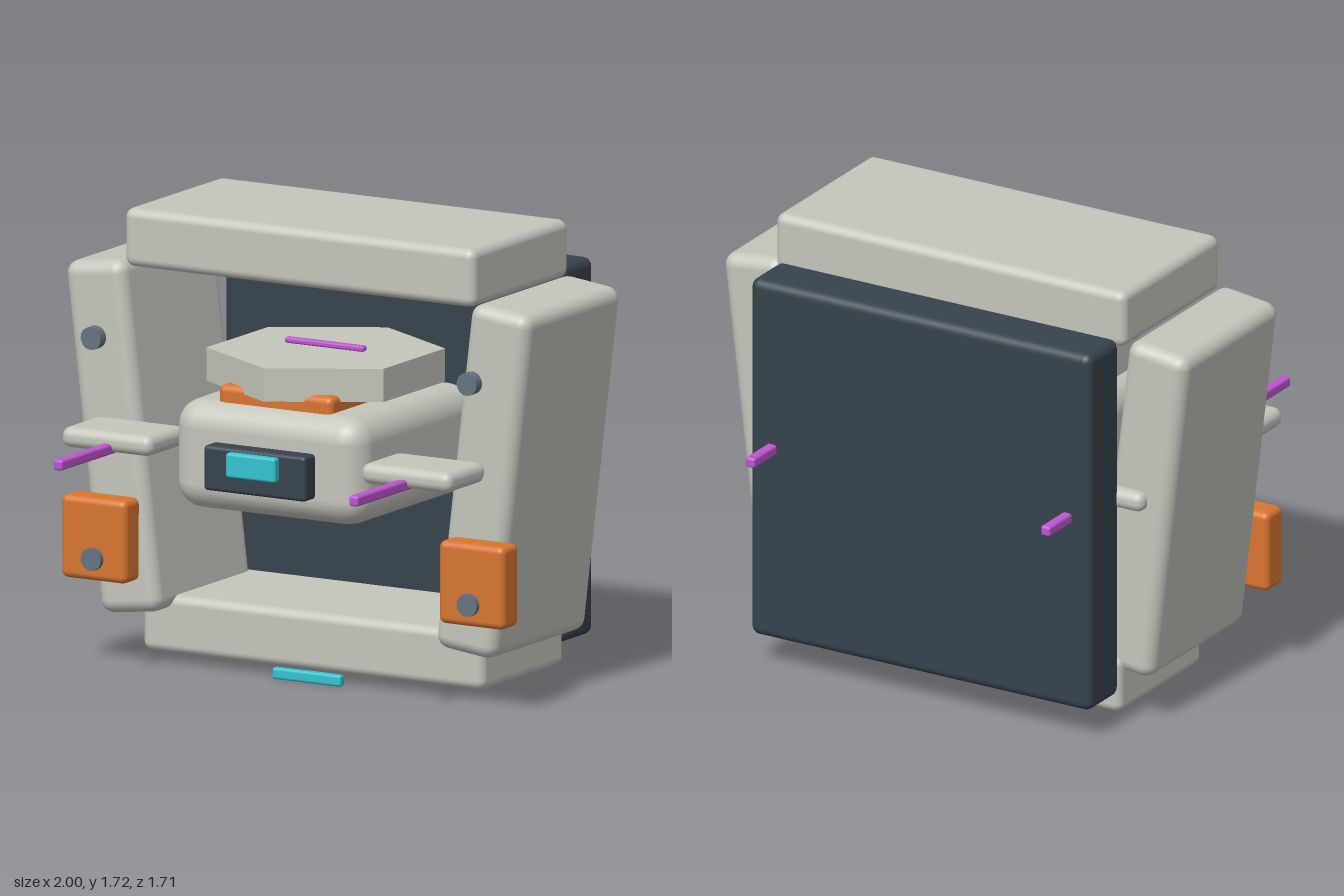
import * as THREE from 'three';
import { RoundedBoxGeometry } from 'three/addons/geometries/RoundedBoxGeometry.js';

const material = (name, color) => {
  const m = new THREE.MeshStandardMaterial({ color });
  m.name = name;
  return m;
};

export function createModel() {
  const model = new THREE.Group();
  model.name = 'model';

  const hull = material('pale grey hull', 0xc4c6bc);
  const dark = material('dark slate', 0x36424d);
  const orange = material('orange', 0xd87530);
  const cyan = material('cyan glow', 0x35c2d3);
  const purple = material('purple glow', 0xbe56d0);
  const steel = material('steel', 0x667380);

  const add = (name, geometry, mat, x, y, z) => {
    const mesh = new THREE.Mesh(geometry, mat);
    mesh.name = name;
    mesh.position.set(x, y, z);
    model.add(mesh);
    return mesh;
  };

  // Rounded block given by its [min, max] range on each axis
  const block = (name, mat, [x0, x1], [y0, y1], [z0, z1], radius) =>
    add(name, new RoundedBoxGeometry(x1 - x0, y1 - y0, z1 - z0, 3, radius), mat,
      (x0 + x1) / 2, (y0 + y1) / 2, (z0 + z1) / 2);

  // Frame: top and bottom beams, back plate
  block('topBeam', hull, [-0.755, 0.755], [1.5, 1.72], [-0.49, 0.197], 0.035);
  block('bottomBeam', hull, [-0.735, 0.735], [0.04, 0.26], [-0.49, 0.1], 0.035);
  block('backPlate', dark, [-0.735, 0.735], [0.12, 1.54], [-0.7, -0.483], 0.035);

  // Central pod with its visor and collar
  block('pod', hull, [-0.41, 0.41], [0.67, 1.08], [-0.44, 0.44], 0.1);
  block('visor', dark, [-0.22, 0.22], [0.77, 0.94], [0.4, 0.51], 0.015);
  block('visorLens', cyan, [-0.107, 0.107], [0.835, 0.927], [0.49, 0.54], 0.01);
  block('collar', orange, [-0.245, 0.245], [1.03, 1.14], [-0.365, 0.365], 0.025);

  // Six-sided cap with a light strip on top
  const hexagon = new THREE.CylinderGeometry(0.44, 0.44, 0.125, 6).toNonIndexed();
  hexagon.computeVertexNormals();
  add('hexagonalCap', hexagon, hull, 0, 1.177, 0);
  block('capStrip', purple, [-0.17, 0.17], [1.243, 1.265], [-0.015, 0.015], 0.008);

  // Light bar under the front
  block('lowerLight', cyan, [-0.148, 0.148], [0.003, 0.046], [0.108, 0.142], 0.01);

  for (const side of [-1, 1]) {
    const label = side > 0 ? 'left' : 'right';
    const range = (a, b) => (side > 0 ? [a, b] : [-b, -a]);

    // Side panel leaning outward at the top
    const panel = block(label + 'SidePanel', hull, range(0.668, 0.928), [0.195, 1.515], [-0.465, 0.22], 0.05);
    panel.rotation.z = -side * 0.12;

    // Orange foot pad and bolts
    block(label + 'Pad', orange, range(0.673, 0.955), [0.33, 0.642], [0.198, 0.315], 0.025);
    for (const y of [0.415, 1.247]) {
      const bolt = add(label + 'Bolt', new THREE.CylinderGeometry(0.043, 0.043, 0.04, 16), steel, side * 0.81, y, 0.316);
      bolt.rotation.x = Math.PI / 2;
    }

    // Fins and glowing rods, front and back
    for (const end of [-1, 1]) {
      const place = end > 0 ? 'Front' : 'Rear';
      const depth = (a, b) => (end > 0 ? [a, b] : [-b, -a]);
      block(label + place + 'Fin', hull, range(0.45, 0.84), [0.865, 0.942], depth(0.237, 0.508), 0.034);
      block(label + place + 'Rod', purple, range(0.617, 0.657), [0.86, 0.9], depth(0.46, 0.857), 0.01);
    }
  }

  return model;
}
